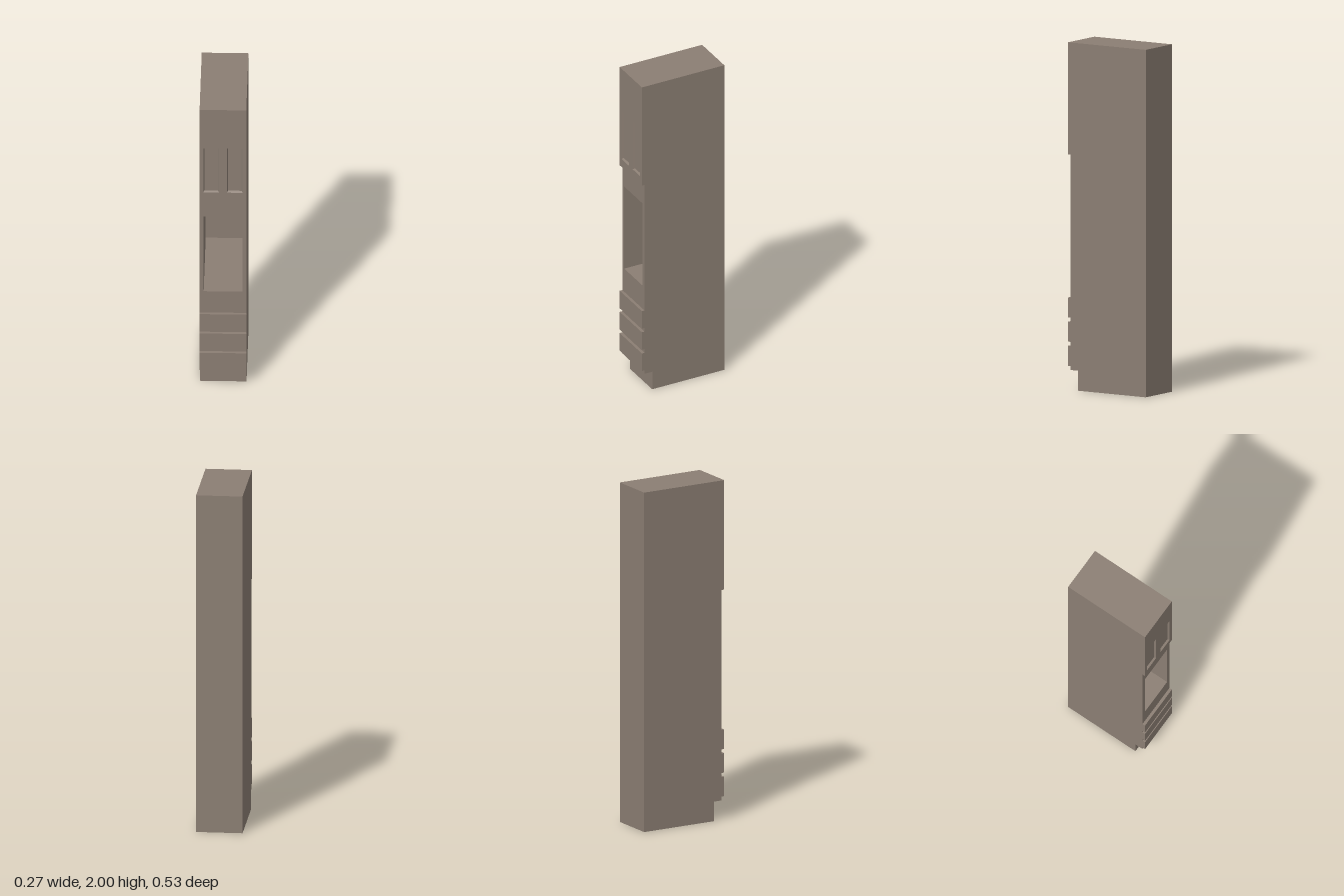
import * as THREE from 'three';

const W = 0.266, X = W / 2, BACK = -0.267, CASE = 0.25, FRONT = 0.267;

function rect(target, x0, y0, x1, y1) {
  target.moveTo(x0, y0);
  target.lineTo(x1, y0);
  target.lineTo(x1, y1);
  target.lineTo(x0, y1);
  target.closePath();
  return target;
}

// Recess with sloping sides, from an outer rectangle to a smaller one behind it
function recessGeometry(x0, y0, x1, y1, inset, zOuter, zInner) {
  const ring = (i, z) => [
    [x0 + i, y0 + i, z], [x1 - i, y0 + i, z], [x1 - i, y1 - i, z], [x0 + i, y1 - i, z],
  ];
  const a = ring(0, zOuter), b = ring(inset, zInner);
  const pos = [];
  const quad = (p, q, r, s) => pos.push(...p, ...q, ...r, ...p, ...r, ...s);
  for (let i = 0; i < 4; i++) {
    const j = (i + 1) % 4;
    quad(a[i], a[j], b[j], b[i]);
  }
  quad(b[0], b[1], b[2], b[3]);
  const geo = new THREE.BufferGeometry();
  geo.setAttribute('position', new THREE.Float32BufferAttribute(pos, 3));
  geo.computeVertexNormals();
  return geo;
}

export function createModel() {
  const group = new THREE.Group();
  const material = new THREE.MeshStandardMaterial({ color: 0x8b7e73 });

  const add = (name, geometry, parent = group) => {
    const mesh = new THREE.Mesh(geometry, material);
    mesh.name = name;
    parent.add(mesh);
    return mesh;
  };
  const box = (name, y0, y1, z0, z1) =>
    add(name, new THREE.BoxGeometry(W, y1 - y0, z1 - z0))
      .position.set(0, (y0 + y1) / 2, (z0 + z1) / 2);
  const slab = (name, shape, z0, z1, parent) => {
    const geo = new THREE.ExtrudeGeometry(shape, { depth: z1 - z0, bevelEnabled: false });
    add(name, geo.translate(0, 0, z0), parent);
  };

  // Plinth set back below the tall case
  box('plinth', 0, 0.115, BACK, 0.2);

  // Case with a deep appliance niche, closed by a back panel
  const caseShape = rect(new THREE.Shape(), -X, 0.115, X, 2);
  caseShape.holes.push(rect(new THREE.Path(), -0.11, 0.683, 0.11, 1.222));
  slab('case', caseShape, -0.25, CASE);
  box('backPanel', 0.115, 2, BACK, -0.25);

  // Three drawer fronts with gaps between
  [0.138, 0.277, 0.416].forEach((y, i) =>
    box('drawerFront' + (i + 1), y, y + 0.115, CASE, FRONT));

  // Upper door with two recessed panels
  const door = new THREE.Group();
  door.name = 'upperDoor';
  group.add(door);
  const frame = rect(new THREE.Shape(), -X, 1.355, X, 1.775);
  for (const x of [-0.112, 0.022]) {
    frame.holes.push(rect(new THREE.Path(), x, 1.407, x + 0.09, 1.724));
    add(x < 0 ? 'rightDoorPanel' : 'leftDoorPanel',
      recessGeometry(x, 1.407, x + 0.09, 1.724, 0.006, FRONT, FRONT - 0.012), door);
  }
  slab('doorFrame', frame, CASE, FRONT, door);

  // Plain panel above the door
  box('topPanel', 1.775, 2, CASE, FRONT);

  return group;
}
